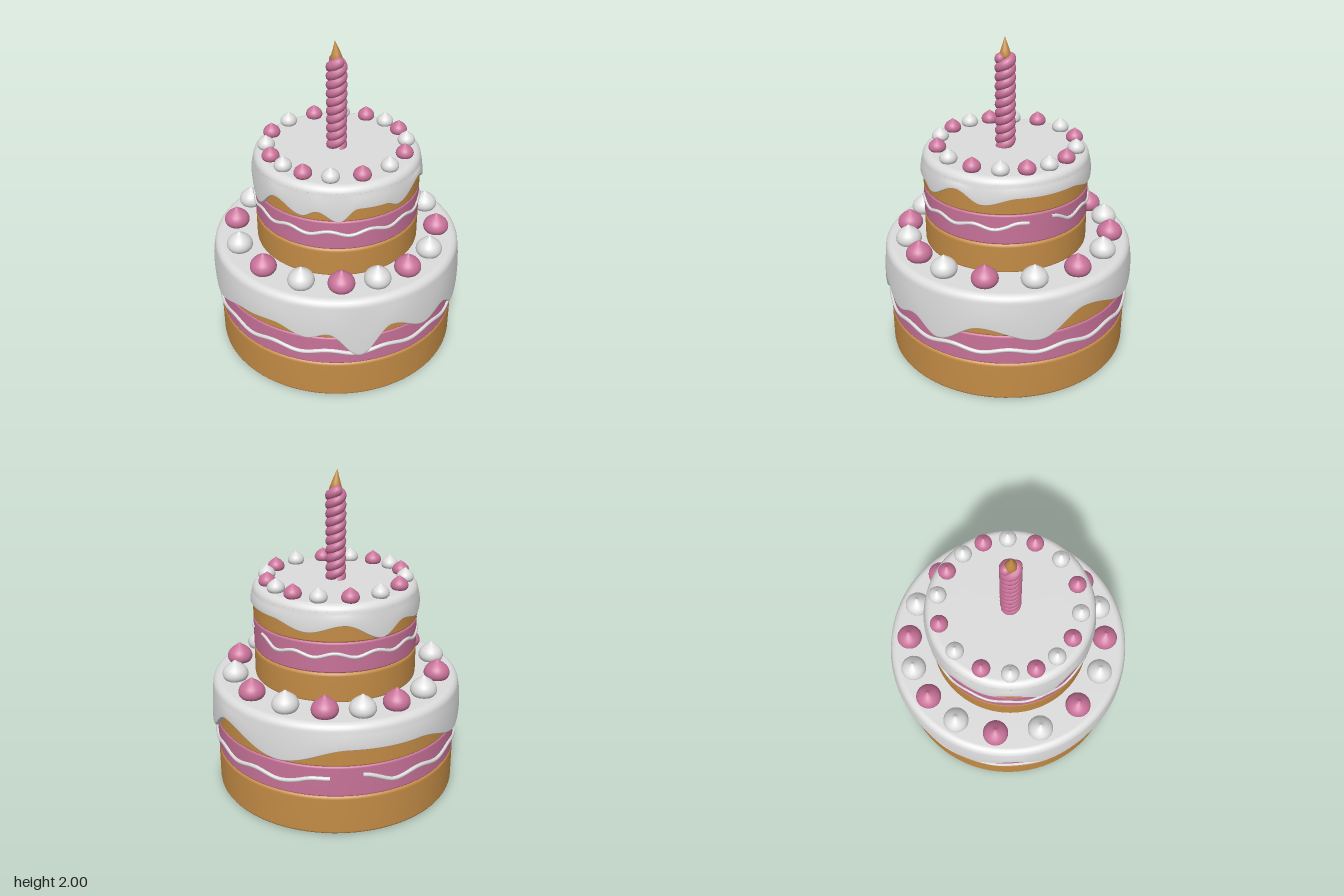
import * as THREE from 'three';
import { mergeVertices } from 'three/addons/utils/BufferGeometryUtils.js';

const mat = (name, color) => {
  const m = new THREE.MeshStandardMaterial({ color });
  m.name = name;
  return m;
};
const v2 = (x, y) => new THREE.Vector2(x, y);

function add(parent, name, geometry, material, x = 0, y = 0, z = 0) {
  const mesh = new THREE.Mesh(geometry, material);
  mesh.name = name;
  mesh.position.set(x, y, z);
  parent.add(mesh);
  return mesh;
}

// Solid disc with softly rounded rims
function layerGeometry(r, y0, y1, bevel) {
  const pts = [v2(0, y0)];
  for (const [cy, start] of [[y0 + bevel, -Math.PI / 2], [y1 - bevel, 0]]) {
    for (let i = 0; i <= 4; i++) {
      const t = start + (i / 4) * Math.PI / 2;
      pts.push(v2(r - bevel + bevel * Math.cos(t), cy + bevel * Math.sin(t)));
    }
  }
  pts.push(v2(0, y1));
  return new THREE.LatheGeometry(pts, 96);
}

// Smooth height between [degrees, height] keys around the cake
function edgeHeight(keys, deg) {
  const d = deg < keys[0][0] ? deg + 360 : deg;
  const loop = [...keys, [keys[0][0] + 360, keys[0][1]]];
  const i = loop.findIndex(([a]) => a > d);
  const [a0, h0] = loop[i - 1], [a1, h1] = loop[i];
  return h0 + (h1 - h0) * (0.5 - 0.5 * Math.cos(Math.PI * (d - a0) / (a1 - a0)));
}

// Icing cap: a lathe whose lower part is stretched to follow the drips
function icingGeometry(r, top, keys) {
  const corner = 0.05, lip = 0.018, segments = 240;
  // profile y runs 0 (drip edge) to 1 (start of the rounded rim)
  const pts = [v2(r - 0.05, 0.06)];
  for (let i = 0; i <= 5; i++) {
    const t = -Math.PI / 2 + (i / 5) * Math.PI / 2;
    pts.push(v2(r - lip + lip * Math.cos(t), 0.07 + 0.07 * Math.sin(t)));
  }
  for (let s = 0.25; s < 0.9; s += 0.15) pts.push(v2(r - 0.014 * s * s, s));
  for (let i = 0; i <= 6; i++) {
    const t = (i / 6) * Math.PI / 2;
    pts.push(v2(r - 0.014 - corner + corner * Math.cos(t), 1 + Math.sin(t)));
  }
  pts.push(v2(r * 0.6, 2), v2(0, 2));
  const g = new THREE.LatheGeometry(pts, segments);
  const p = g.attributes.position;
  const rim = top - corner;
  for (let i = 0; i < p.count; i++) {
    const turn = (Math.floor(i / pts.length) % segments) / segments;
    const edge = edgeHeight(keys, turn * 360);
    const s = p.getY(i);
    p.setY(i, s <= 1 ? edge + (rim - edge) * s : rim + (s - 1) * corner);
  }
  g.deleteAttribute('uv');
  g.deleteAttribute('normal');
  const merged = mergeVertices(g, 1e-5);
  merged.computeVertexNormals();
  return merged;
}

// Wavy piped line, open at a gap where both ends lift
function pipingGeometry(r, y, thick, from, to, waves, lift) {
  const pts = [];
  for (let i = 0; i <= 160; i++) {
    const t = i / 160;
    const a = THREE.MathUtils.degToRad(from + (to - from) * t);
    const end = Math.max(0, 1 - Math.min(t, 1 - t) / 0.04);
    const h = y + 0.013 * Math.cos(a * waves) + lift * end;
    pts.push(new THREE.Vector3(r * Math.sin(a), h, r * Math.cos(a)));
  }
  return new THREE.TubeGeometry(new THREE.CatmullRomCurve3(pts), 320, thick, 8);
}

// Pointed cream dollop of unit radius
function dollopGeometry() {
  const side = new THREE.SplineCurve([v2(0.8, -0.05), v2(0.97, 0.2), v2(1, 0.5), v2(0.86, 0.85),
    v2(0.55, 1.15), v2(0.25, 1.36), v2(0.1, 1.48), v2(0.001, 1.56)]);
  return new THREE.LatheGeometry([v2(0, -0.05), ...side.getPoints(20)], 28);
}

// Drip edges as [degrees, height], counted from the front towards +x
const lowerDrips = [[2, 0.525], [20, 0.425], [32, 0.475], [45, 0.38], [65, 0.515], [90, 0.43],
  [111, 0.595], [142, 0.475], [172, 0.575], [203, 0.57], [234, 0.46], [254, 0.575],
  [270, 0.43], [295, 0.515], [310, 0.53], [325, 0.465], [334, 0.5], [348, 0.33]];
const upperDrips = [[10, 1.185], [20, 1.15], [44, 1.24], [62, 1.165], [85, 1.212], [122, 1.212],
  [148, 1.16], [172, 1.21], [198, 1.11], [216, 1.19], [235, 1.155], [252, 1.2],
  [274, 1.07], [295, 1.2], [315, 1.13], [325, 1.17], [339, 1.105], [351, 1.19]];

export function createModel() {
  const cake = new THREE.Group();
  cake.name = 'birthdayCake';
  const sponge = mat('golden sponge', 0xc48c46);
  const pink = mat('pink cream', 0xc87299);
  const white = mat('white icing', 0xdcdcdc);
  const dollop = dollopGeometry();

  const tiers = [
    {
      name: 'lowerTier', r: 0.767, z: 0, ys: [0, 0.258, 0.456, 0.7],
      icingR: 0.797, top: 0.73, drips: lowerDrips,
      piping: [0.768, 0.35, 0.013, 178, 524, 14, 0.04],
      ring: { r: 0.644, z: -0.007, size: 0.08, phase: Math.PI, colours: [white, pink] },
    },
    {
      name: 'upperTier', r: 0.511, z: 0.013, ys: [0.72, 0.915, 1.105, 1.3],
      icingR: 0.526, top: 1.33, drips: upperDrips,
      piping: [0.511, 1.025, 0.011, 108, 452, 13, 0.03],
      ring: { r: 0.427, z: 0.005, size: 0.053, phase: -Math.PI / 6, colours: [pink, white] },
    },
  ];

  for (const { name, r, z, ys, icingR, top, drips, piping, ring } of tiers) {
    const tier = new THREE.Group();
    tier.name = name;
    cake.add(tier);
    ['spongeBase', 'creamFilling', 'spongeTop'].forEach((part, i) =>
      add(tier, part, layerGeometry(r, ys[i], ys[i + 1], i ? 0.012 : 0.02),
        i === 1 ? pink : sponge, 0, 0, z));
    add(tier, 'drippingIcing', icingGeometry(icingR, top, drips), white, 0, 0, z);
    add(tier, 'pipedWave', pipingGeometry(...piping), white, 0, 0, z);

    // Ring of dollops in alternating colours, slightly uneven in spacing
    for (let i = 0; i < 16; i++) {
      const even = (i / 16) * Math.PI * 2;
      const a = even + 0.078 * Math.sin(2 * even + ring.phase);
      add(tier, 'creamDollop', dollop, ring.colours[i % 2],
        ring.r * Math.sin(a), top, ring.z + ring.r * Math.cos(a)).scale.setScalar(ring.size);
    }
  }

  // Candle: two strands twisted together, with rounded upper ends
  const candle = new THREE.Group();
  candle.name = 'candle';
  candle.position.set(-0.004, 1.32, 0.014);
  cake.add(candle);
  const height = 0.555, turns = 5;
  for (const phase of [0, Math.PI]) {
    const pts = [];
    for (let i = 0; i <= 100; i++) {
      const a = phase + (i / 100) * turns * Math.PI * 2;
      pts.push(new THREE.Vector3(0.031 * Math.sin(a), (i / 100) * height, 0.031 * Math.cos(a)));
    }
    const curve = new THREE.CatmullRomCurve3(pts);
    add(candle, 'twistedStrand', new THREE.TubeGeometry(curve, 200, 0.033, 12), pink);
    const end = pts[100];
    add(candle, 'strandEnd', new THREE.SphereGeometry(0.033, 16, 10), pink, end.x, end.y, end.z);
  }

  // Flame: a slim cone curving to a point
  const flame = new THREE.LatheGeometry([v2(0, 0), v2(0.03, 0), v2(0.036, 0.025), v2(0.027, 0.055),
    v2(0.014, 0.09), v2(0.001, 0.13)], 16);
  const fp = flame.attributes.position;
  for (let i = 0; i < fp.count; i++) fp.setX(i, fp.getX(i) - 0.6 * fp.getY(i) ** 2);
  flame.computeVertexNormals();
  add(candle, 'flame', flame, sponge, 0, 0.55, 0);

  return cake;
}
